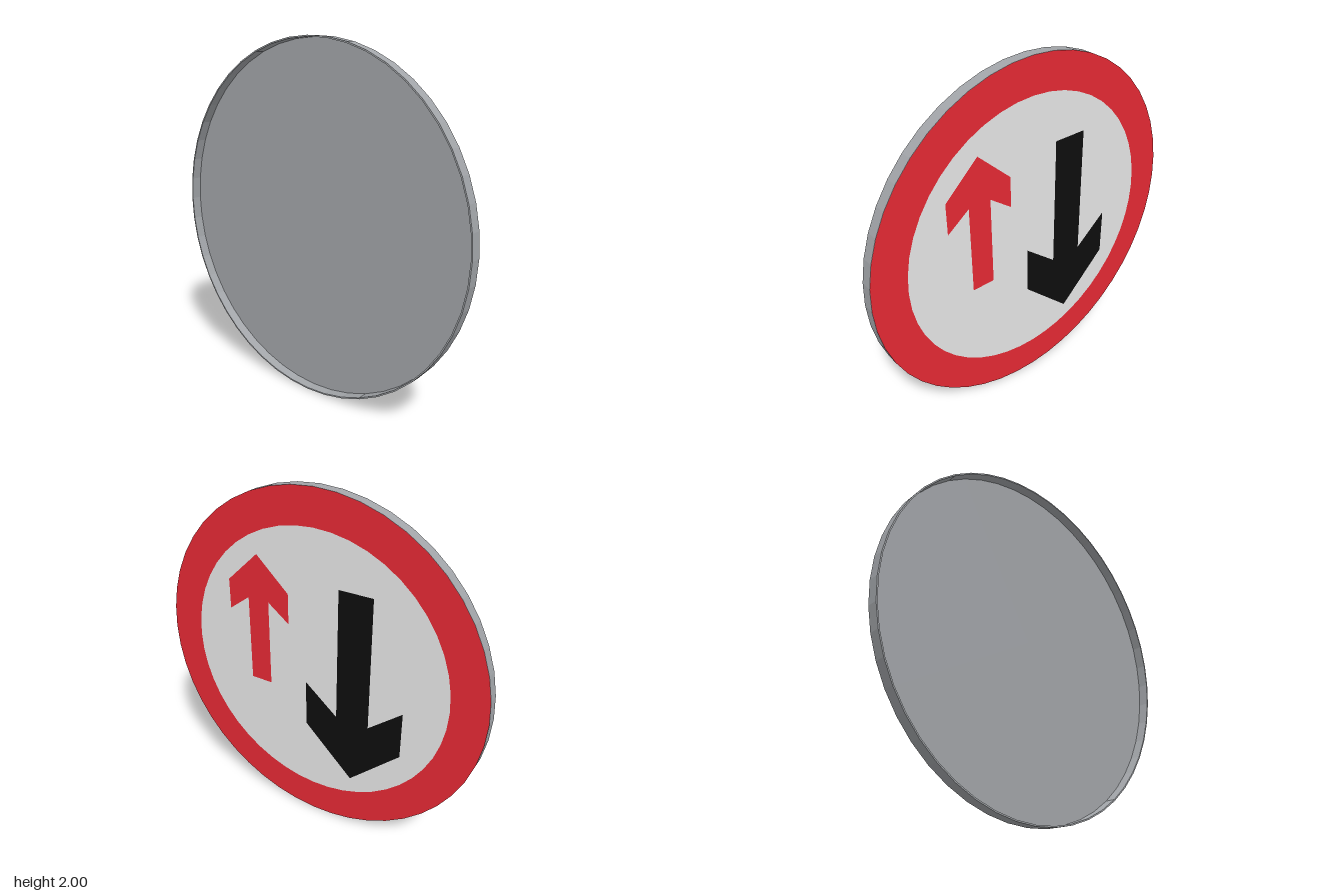
import * as THREE from 'three';

const SIDES = 48;

export function createModel() {
  const sign = new THREE.Group();
  sign.name = 'roadSign';

  const material = (name, color) => {
    const m = new THREE.MeshStandardMaterial({ color });
    m.name = name;
    return m;
  };
  const grey = material('metal grey', 0xa3a6aa);
  const red = material('sign red', 0xe62934);
  const white = material('sign white', 0xe7e7e7);
  const black = material('sign black', 0x0e0e0e);

  const add = (parent, name, geometry, mat) => {
    const mesh = new THREE.Mesh(geometry, mat);
    mesh.name = name;
    parent.add(mesh);
    return mesh;
  };

  // Shallow faceted metal pan, open towards +z, with a thin upright rim
  const profile = [
    [0, -0.031], [1, -0.031], [1, 0.034], [0.992, 0.034], [0.992, -0.025], [0, -0.025],
  ].map(([r, h]) => new THREE.Vector2(r, h));
  const panGeometry = new THREE.LatheGeometry(profile, SIDES).rotateX(Math.PI / 2).toNonIndexed();
  panGeometry.computeVertexNormals();
  add(sign, 'pan', panGeometry, grey).position.y = 1;

  // Painted face, turned to look towards -z
  const face = new THREE.Group();
  face.name = 'paintedFace';
  face.position.y = 1;
  face.rotation.y = Math.PI;
  sign.add(face);

  add(face, 'border', new THREE.RingGeometry(0.8, 1, SIDES), red).position.z = 0.033;
  add(face, 'background', new THREE.CircleGeometry(0.8, SIDES), white).position.z = 0.033;

  // Arrow along y: tail, notch, barb and shoulder heights, then the tip
  const arrow = (name, mat, x, stem, head, [tail, notch, barb, shoulder, tip]) => {
    const half = [[stem, tail], [stem, notch], [head, barb], [head, shoulder]];
    const outline = [
      ...half, [0, tip],
      ...half.slice().reverse().map(([px, py]) => [-px, py]),
    ].map(([px, py]) => new THREE.Vector2(px, py));
    const geometry = new THREE.ShapeGeometry(new THREE.Shape(outline));
    add(face, name, geometry, mat).position.set(x, 0, 0.035);
  };
  arrow('upArrow', red, -0.354, 0.067, 0.198, [-0.18, 0.33, 0.233, 0.41, 0.594]);
  arrow('downArrow', black, 0.254, 0.1, 0.299, [0.507, -0.262, -0.099, -0.375, -0.657]);

  return sign;
}
